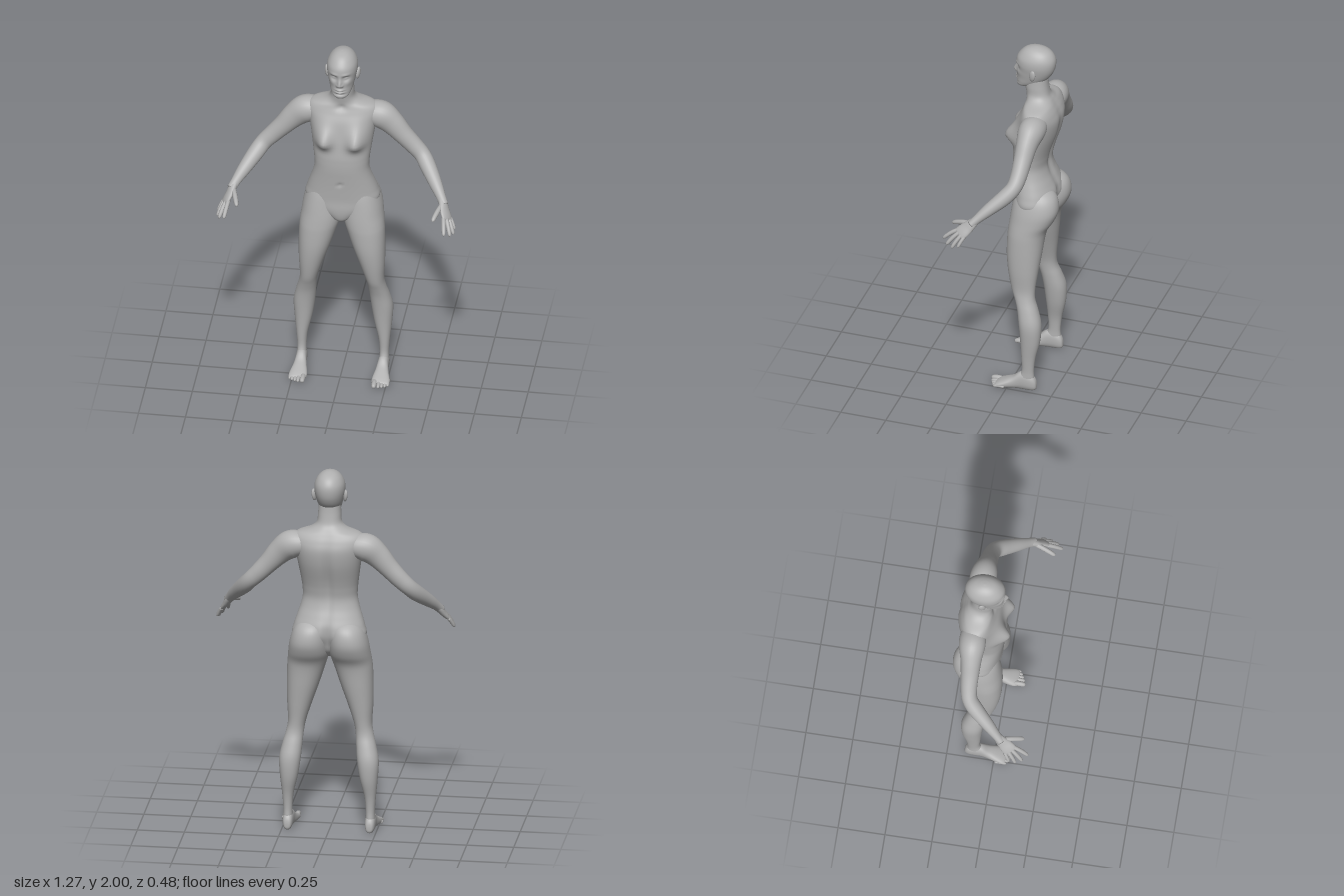
import * as THREE from 'three';

const skin = new THREE.MeshStandardMaterial({ color: 0xb0b0b0 });
skin.name = 'grey';

// Smoothly subdivides a list of number rows
function refine(rows, steps) {
  const out = [];
  const at = (i) => rows[Math.max(0, Math.min(rows.length - 1, i))];
  for (let i = 0; i < rows.length - 1; i++) {
    for (let s = 0; s < steps; s++) {
      const t = s / steps;
      out.push(rows[i].map((p1, k) => {
        const p0 = at(i - 1)[k], p2 = at(i + 1)[k], p3 = at(i + 2)[k];
        return p1 + 0.5 * t * (p2 - p0 + t * (2 * p0 - 5 * p1 + 4 * p2 - p3 + t * (3 * (p1 - p2) + p3 - p0)));
      }));
    }
  }
  out.push(rows[rows.length - 1]);
  return out;
}

// Skins closed rings of points, with capped ends and outward faces
function skinRings(name, rings) {
  const n = rings[0].length, pos = [], idx = [];
  rings.forEach((r) => r.forEach((p) => pos.push(p.x, p.y, p.z)));
  for (let i = 0; i < rings.length - 1; i++) {
    for (let j = 0; j < n; j++) {
      const a = i * n + j, b = i * n + (j + 1) % n;
      idx.push(a, b, a + n, b, b + n, a + n);
    }
  }
  [0, rings.length - 1].forEach((i) => {
    const c = new THREE.Vector3();
    rings[i].forEach((p) => c.addScaledVector(p, 1 / n));
    const ci = pos.length / 3;
    pos.push(c.x, c.y, c.z);
    for (let j = 0; j < n; j++) {
      const a = i * n + j, b = i * n + (j + 1) % n;
      if (i === 0) idx.push(ci, b, a); else idx.push(ci, a, b);
    }
  });
  // A negative volume means the faces point inwards
  let volume = 0;
  const v = (i) => new THREE.Vector3().fromArray(pos, i * 3);
  for (let i = 0; i < idx.length; i += 3) volume += v(idx[i]).dot(v(idx[i + 1]).cross(v(idx[i + 2])));
  if (volume < 0) idx.reverse();
  const g = new THREE.BufferGeometry();
  g.setAttribute('position', new THREE.Float32BufferAttribute(pos, 3));
  g.setIndex(idx);
  g.computeVertexNormals();
  const mesh = new THREE.Mesh(g, skin);
  mesh.name = name;
  return mesh;
}

// Rows are [t, aMin, aMax, bMin, bMax]; place turns (a, t, b) into a point
function loft(name, rows, n, steps, power, place) {
  return skinRings(name, refine(rows, steps).map(([t, a0, a1, b0, b1]) => Array.from({ length: n }, (_, j) => {
    const w = (j / n) * Math.PI * 2, c = Math.cos(w), s = Math.sin(w);
    const bend = (u) => Math.sign(u) * Math.abs(u) ** power;
    return place((a0 + a1) / 2 + bend(c) * (a1 - a0) / 2, t, (b0 + b1) / 2 + bend(s) * (b1 - b0) / 2);
  })));
}

// Rows are [x, y, z, radius along across, radius at right angles to it]
function limb(name, rows, across, side, n = 14, steps = 4) {
  const r = refine(rows, steps);
  const at = (i) => new THREE.Vector3(...r[Math.max(0, Math.min(r.length - 1, i))].slice(0, 3));
  return skinRings(name, r.map((row, i) => {
    const dir = at(i + 1).sub(at(i - 1)).normalize();
    const B = dir.clone().cross(across).normalize(), A = B.clone().cross(dir);
    return Array.from({ length: n }, (_, j) => {
      const w = (j / n) * Math.PI * 2;
      const p = at(i).addScaledVector(A, Math.cos(w) * row[3]).addScaledVector(B, Math.sin(w) * row[4]);
      p.x *= side;
      return p;
    });
  }));
}

// Rounded digit from a root to a tip, with a slight bend
function digit(name, a, b, r, side, lift) {
  const p = (t, k) => [0, 1, 2].map((i) => a[i] + (b[i] - a[i]) * t + (i === 1 ? lift * Math.sin(t * Math.PI) : 0)).concat([r * k, r * k]);
  return limb(name, [p(0, 1), p(0.35, 1), p(0.7, 0.95), p(0.9, 0.8), p(0.98, 0.45), p(1, 0.1)], new THREE.Vector3(1, 0, 0.2), side, 10, 3);
}

const bump = (d, w) => Math.exp(-((d / w) ** 2));

function torso() {
  const rows = [
    [0.962, 0.02, -0.09, -0.02], [0.98, 0.05, -0.125, 0], [1.01, 0.1, -0.16, 0.01], [1.05, 0.165, -0.185, 0.014],
    [1.1, 0.197, -0.21, 0.013], [1.15, 0.187, -0.207, 0.016], [1.2, 0.171, -0.188, 0.02],
    [1.25, 0.155, -0.169, 0.025], [1.3, 0.145, -0.16, 0.03], [1.35, 0.147, -0.167, 0.032],
    [1.4, 0.153, -0.18, 0.03], [1.5, 0.168, -0.211, 0.015], [1.58, 0.182, -0.222, 0],
    [1.63, 0.192, -0.21, -0.02], [1.665, 0.17, -0.193, -0.033], [1.69, 0.1, -0.178, -0.038],
    [1.72, 0.067, -0.16, -0.034], [1.77, 0.061, -0.15, -0.025], [1.82, 0.058, -0.145, -0.02],
  ].map(([y, w, b, f]) => [y, -w, w, b, f]);
  return loft('torso', rows, 80, 6, 0.9, (x, y, z) => {
    const front = z > -0.08, dy = y - 1.478;
    // Breasts, spine groove and collar hollow
    if (front) {
      const k = Math.min(1, (z + 0.08) / 0.05);
      z += k * 0.056 * bump(Math.abs(x) - 0.088, 0.047) * bump(dy, dy > 0 ? 0.075 : 0.04);
      z -= k * 0.012 * bump(x, 0.025) * bump(y - 1.665, 0.018);
      z -= k * 0.008 * bump(x, 0.01) * bump(y - 1.215, 0.012);
    } else {
      z += 0.016 * bump(x, 0.025) * bump(y - 1.4, 0.2);
      z += 0.02 * bump(x, 0.02) * bump(y - 1.1, 0.06);
    }
    return new THREE.Vector3(x, y, z);
  });
}

function head() {
  const rows = [
    [1.752, 0.015, -0.02, 0.008], [1.757, 0.03, -0.045, 0.016], [1.77, 0.046, -0.075, 0.022],
    [1.79, 0.057, -0.115, 0.021], [1.82, 0.066, -0.155, 0.02], [1.86, 0.075, -0.18, 0.02],
    [1.9, 0.081, -0.19, 0.023], [1.935, 0.078, -0.188, 0.018], [1.965, 0.064, -0.172, -0.002],
    [1.985, 0.045, -0.147, -0.026], [1.996, 0.024, -0.115, -0.055], [2, 0.004, -0.09, -0.08],
  ].map(([y, w, b, f]) => [y, -w, w, b, f]);
  return loft('head', rows, 110, 8, 0.97, (x, y, z) => {
    if (z > -0.05) {
      const ax = Math.abs(x), dn = y - 1.842;
      // Nose, eye sockets, eyelids, brows, lips and cheeks
      z += 0.022 * bump(x, 0.011) * bump(dn, dn > 0 ? 0.03 : 0.01);
      z += 0.008 * bump(ax - 0.013, 0.007) * bump(y - 1.838, 0.008);
      z -= 0.016 * bump(ax - 0.032, 0.018) * bump(y - 1.88, 0.014);
      z += 0.009 * bump(ax - 0.033, 0.012) * bump(y - 1.879, 0.006);
      z += 0.005 * bump(ax - 0.032, 0.02) * bump(y - 1.903, 0.008);
      z += 0.009 * bump(x, 0.02) * (bump(y - 1.81, 0.006) + bump(y - 1.796, 0.006));
      z -= 0.006 * bump(x, 0.022) * bump(y - 1.803, 0.003);
      z -= 0.005 * bump(x, 0.03) * bump(y - 1.783, 0.007);
      z += 0.005 * bump(ax - 0.045, 0.018) * bump(y - 1.85, 0.018);
    }
    return new THREE.Vector3(x, y, z);
  });
}

function leg(side) {
  const rows = [
    [1.19, 0.05, 0.13, -0.15, -0.04], [1.16, 0.02, 0.165, -0.205, -0.01], [1.12, 0.006, 0.19, -0.232, 0.002], [1.06, 0.002, 0.208, -0.238, 0.012],
    [1, 0.002, 0.217, -0.217, 0.02], [0.95, 0.012, 0.223, -0.186, 0.025], [0.9, 0.028, 0.227, -0.172, 0.028],
    [0.8, 0.06, 0.229, -0.16, 0.027], [0.7, 0.095, 0.228, -0.147, 0.015], [0.6, 0.127, 0.223, -0.135, -0.006],
    [0.54, 0.138, 0.232, -0.137, -0.028], [0.48, 0.143, 0.248, -0.157, -0.046], [0.4, 0.15, 0.264, -0.178, -0.058],
    [0.3, 0.165, 0.259, -0.174, -0.068], [0.2, 0.188, 0.249, -0.152, -0.075], [0.12, 0.195, 0.243, -0.143, -0.078],
    [0.07, 0.194, 0.244, -0.145, -0.06], [0.03, 0.2, 0.24, -0.14, -0.06],
  ];
  return loft('leg', rows, 36, 4, 0.92, (x, y, z) => new THREE.Vector3(x * side, y, z));
}

function foot(side) {
  const g = new THREE.Group();
  g.name = 'foot';
  g.add(loft('footBody', [
    [-0.158, 0.21, 0.226, 0.02, 0.04], [-0.153, 0.2, 0.236, 0.008, 0.065], [-0.135, 0.193, 0.244, 0.001, 0.09],
    [-0.1, 0.19, 0.247, 0, 0.105], [-0.065, 0.188, 0.247, 0, 0.098], [-0.03, 0.182, 0.253, 0, 0.07],
    [0.01, 0.174, 0.263, 0, 0.05], [0.04, 0.172, 0.268, 0, 0.036], [0.058, 0.178, 0.264, 0.004, 0.026], [0.064, 0.19, 0.25, 0.01, 0.02],
  ], 28, 4, 0.85, (x, z, y) => new THREE.Vector3(x * side, y, z)));
  [[0.19, 0.1, 0.014], [0.213, 0.094, 0.0105], [0.23, 0.087, 0.0095], [0.246, 0.079, 0.009], [0.26, 0.069, 0.009]].forEach(([x, z, r], i) =>
    g.add(digit('toe' + (i + 1), [x, r + 0.004, z - 0.06], [x, r, z], r, side, 0.004)));
  return g;
}

function arm(side) {
  const g = new THREE.Group();
  g.name = 'arm';
  g.add(limb('armBody', [
    [0.1, 1.605, -0.125, 0.05, 0.05], [0.15, 1.6, -0.125, 0.068, 0.066], [0.205, 1.588, -0.122, 0.07, 0.076],
    [0.26, 1.545, -0.118, 0.057, 0.066], [0.317, 1.482, -0.115, 0.049, 0.054], [0.375, 1.42, -0.112, 0.044, 0.048],
    [0.422, 1.372, -0.1, 0.041, 0.044], [0.46, 1.325, -0.06, 0.041, 0.043], [0.51, 1.265, 0.01, 0.033, 0.035],
    [0.545, 1.22, 0.06, 0.024, 0.026], [0.565, 1.19, 0.09, 0.022, 0.024],
  ], new THREE.Vector3(0, 0, 1), side, 28, 6));
  const hand = new THREE.Group();
  hand.name = 'hand';
  hand.add(limb('palm', [
    [0.55, 1.213, 0.068, 0.022, 0.018], [0.56, 1.195, 0.085, 0.028, 0.02], [0.57, 1.172, 0.107, 0.035, 0.018],
    [0.583, 1.15, 0.13, 0.039, 0.015], [0.591, 1.136, 0.145, 0.036, 0.011], [0.594, 1.131, 0.15, 0.02, 0.004],
  ], new THREE.Vector3(0.028, -0.02, -0.053), side, 20));
  [
    ['thumb', [0.553, 1.19, 0.1], [0.52, 1.155, 0.207], 0.0135, 0.006],
    ['indexFinger', [0.572, 1.152, 0.155], [0.585, 1.09, 0.237], 0.0115, 0.006],
    ['middleFinger', [0.585, 1.144, 0.146], [0.614, 1.072, 0.21], 0.0115, 0.006],
    ['ringFinger', [0.597, 1.135, 0.132], [0.628, 1.065, 0.176], 0.011, 0.005],
    ['littleFinger', [0.603, 1.13, 0.114], [0.63, 1.076, 0.142], 0.0095, 0.004],
  ].forEach(([name, a, b, r, lift]) => hand.add(digit(name, a, b, r, side, lift)));
  g.add(hand);
  return g;
}

function ear(side) {
  const mesh = new THREE.Mesh(new THREE.SphereGeometry(1, 16, 12), skin);
  mesh.name = 'ear';
  mesh.scale.set(0.011, 0.034, 0.019);
  mesh.position.set(0.083 * side, 1.862, -0.088);
  mesh.rotation.set(-0.2, -0.35 * side, -0.12 * side);
  return mesh;
}

export function createModel() {
  const model = new THREE.Group();
  model.name = 'figure';
  model.add(torso(), head());
  for (const side of [1, -1]) {
    const parts = [arm(side), leg(side), foot(side), ear(side)];
    parts.forEach((p) => { p.name = (side > 0 ? 'left' : 'right') + p.name[0].toUpperCase() + p.name.slice(1); });
    model.add(...parts);
  }
  return model;
}
